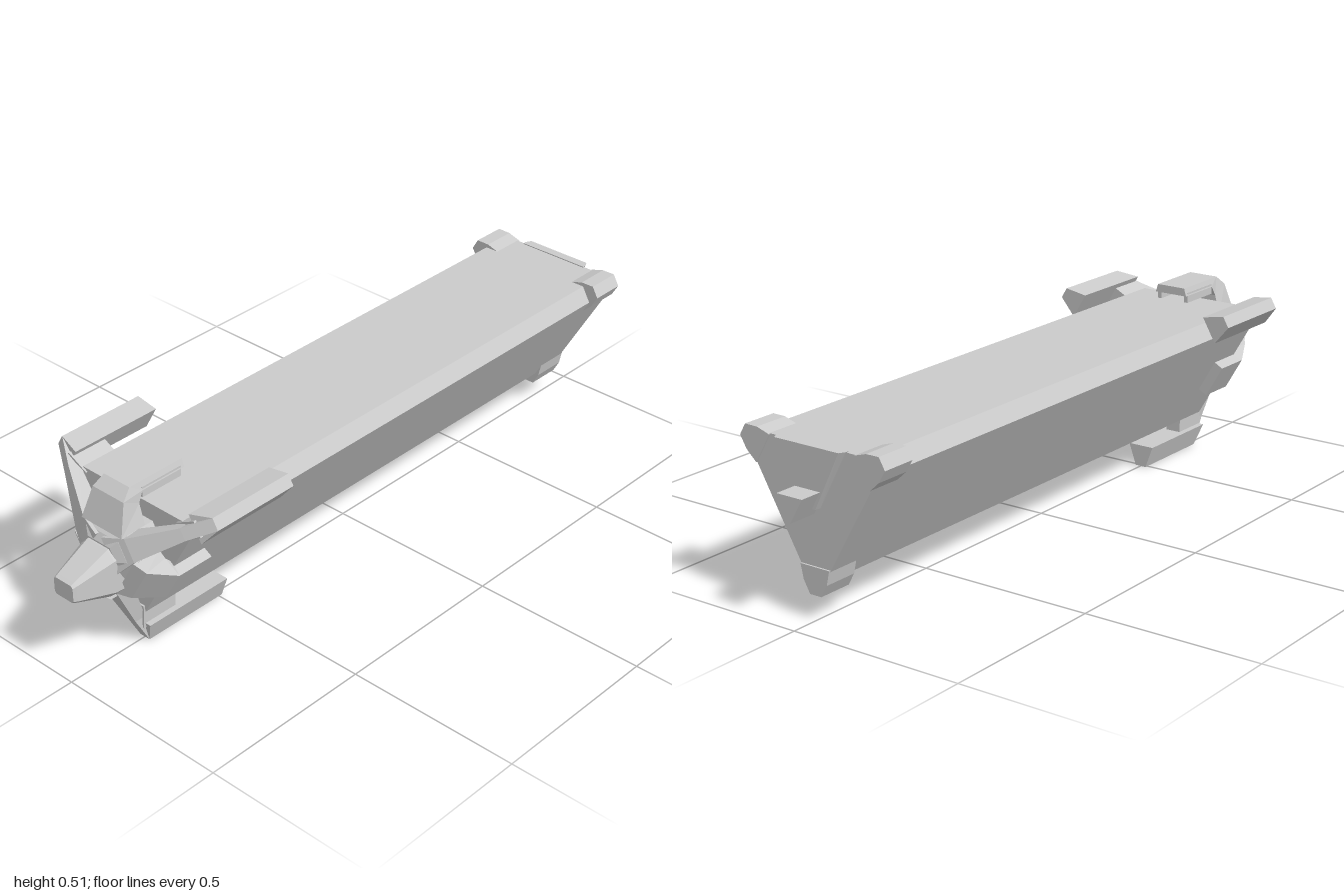
import * as THREE from 'three';

const AXIS_Y = 0.319;                 // height of the three-fold axis
const material = new THREE.MeshStandardMaterial({ color: 0xcccccc, flatShading: true });

// Skin a list of equal-sized rings of [x, y, z] points and cap both ends
function loft(rings) {
  const tris = [], n = rings[0].length;
  for (let i = 0; i < rings.length - 1; i++) {
    for (let j = 0; j < n; j++) {
      const k = (j + 1) % n, a = rings[i], b = rings[i + 1];
      tris.push([a[j], a[k], b[k]], [a[j], b[k], b[j]]);
    }
  }
  const first = rings[0], last = rings[rings.length - 1];
  for (let j = 1; j < n - 1; j++) {
    tris.push([first[0], first[j + 1], first[j]], [last[0], last[j], last[j + 1]]);
  }
  // Turn the skin outward if its signed volume is negative
  let volume = 0;
  const v = (p) => new THREE.Vector3(...p);
  for (const [a, b, c] of tris) volume += v(a).dot(v(b).cross(v(c)));
  if (volume < 0) tris.forEach((t) => t.reverse());
  const geometry = new THREE.BufferGeometry();
  geometry.setAttribute('position', new THREE.Float32BufferAttribute(tris.flat(2), 3));
  geometry.computeVertexNormals();
  return geometry;
}

// Prism along z from outline points
function prism(points, z0, z1) {
  return loft([points.map(([x, y]) => [x, y, z0]), points.map(([x, y]) => [x, y, z1])]);
}

// Spoke cross-section: front half-width and z, back half-width and z, at radius r
const spoke = (r, wf, zf, wb, zb) => [[-wf, r, zf], [wf, r, zf], [wb, r, zb], [-wb, r, zb]];

// Bracket cross-section between an outer and an inner [radius, z], with half-widths
const strap = ([ro, zo], [ri, zi], wo, wi = wo) => [[-wo, ro, zo], [wo, ro, zo], [wi, ri, zi], [-wi, ri, zi]];

export function createModel() {
  const model = new THREE.Group();
  model.name = 'model';
  const root = new THREE.Group();
  root.name = 'assembly';
  root.position.y = AXIS_Y;
  model.add(root);

  const add = (name, geometry, degrees = 90) => {
    const mesh = new THREE.Mesh(geometry, material);
    mesh.name = name;
    mesh.rotation.z = THREE.MathUtils.degToRad(degrees - 90);
    root.add(mesh);
  };

  // Long body: triangle pointing down with its corners cut off
  const outline = [];
  for (const degrees of [30, 150, 270]) {
    const a = THREE.MathUtils.degToRad(degrees);
    for (const t of [-0.025, 0.025]) {
      outline.push([0.219 * Math.cos(a) - t * Math.sin(a), 0.219 * Math.sin(a) + t * Math.cos(a)]);
    }
  }
  add('body', prism(outline, -0.915, 0.765));

  // Parts repeated at the three corners
  const arm = loft([
    spoke(0.04, 0.05, 0.88, 0.05, 0.78),
    spoke(0.103, 0.032, 0.862, 0.036, 0.81),
    spoke(0.239, 0.017, 0.793, 0.017, 0.76),
    spoke(0.319, 0.017, 0.75, 0.017, 0.72),
  ]);
  const hook = loft([
    strap([0.319, 0.49], [0.256, 0.49], 0.017, 0.04),
    strap([0.319, 0.75], [0.256, 0.765], 0.017, 0.04),
  ]);
  const strut = loft([spoke(0.2, 0.025, 0.77, 0.025, 0.66), spoke(0.27, 0.022, 0.77, 0.022, 0.66)]);
  const cornerCap = loft([
    spoke(0.18, 0.046, -0.82, 0.046, -0.92),
    spoke(0.22, 0.037, -0.82, 0.037, -0.92),
    spoke(0.254, 0.018, -0.82, 0.018, -0.92),
  ]);
  for (const degrees of [30, 150, 270]) {
    add('arm', arm, degrees);
    add('armHook', hook, degrees);
    add('armStrut', strut, degrees);
    add('rearCornerCap', cornerCap, degrees);
  }

  // Side clamps lying on the two lower faces
  const clamp = loft([
    strap([0.08, 0.865], [0.08, 0.78], 0.0715),
    strap([0.115, 0.845], [0.105, 0.775], 0.06),
    strap([0.16, 0.77], [0.12, 0.76], 0.052),
    strap([0.16, 0.66], [0.12, 0.66], 0.052),
  ]);
  add('leftClamp', clamp, -30);
  add('rightClamp', clamp, 210);

  // Top bracket: rises from the hub and bends back over the body
  add('topBracket', loft([
    strap([0.08, 0.868], [0.08, 0.79], 0.0715),
    strap([0.165, 0.84], [0.14, 0.79], 0.055),
    strap([0.191, 0.81], [0.168, 0.775], 0.045, 0.052),
    strap([0.191, 0.635], [0.168, 0.635], 0.045, 0.052),
  ]));
  for (const side of [-1, 1]) {
    const lip = new THREE.BoxGeometry(0.012, 0.03, 0.13);
    lip.translate(side * 0.045, 0.162, 0.71);
    add('topBracketLip', lip);
  }

  // Six-sided hub swelling toward the nose
  const hubRing = (r, z) => [11, 49, 131, 169, 251, 289].map((d) => {
    const a = THREE.MathUtils.degToRad(d);
    return [r * Math.cos(a), r * Math.sin(a), z];
  });
  add('hub', loft([hubRing(0.109, 0.76), hubRing(0.109, 0.85), hubRing(0.088, 0.868), hubRing(0.06, 0.88)]));

  // Eight-sided nose tapering forward
  const noseRing = (w, bottom, top, c, z) => [
    [-w + c, bottom], [w - c, bottom], [w, bottom + c], [w, top - c],
    [w - c, top], [-w + c, top], [-w, top - c], [-w, bottom + c],
  ].map(([x, y]) => [x, y - AXIS_Y, z]);
  add('nose', loft([
    noseRing(0.062, 0.215, 0.362, 0.025, 0.8),
    noseRing(0.06, 0.22, 0.36, 0.024, 0.885),
    noseRing(0.037, 0.255, 0.315, 0.008, 0.99),
    noseRing(0.034, 0.26, 0.31, 0.006, 1),
  ]));
  add('chin', loft([
    spoke(0.2 - AXIS_Y, 0.026, 0.875, 0.026, 0.83),
    spoke(0.232 - AXIS_Y, 0.015, 0.91, 0.02, 0.83),
  ]));

  // Rear plate and triangular peg
  const plate = (s, z) => [[-0.11, 0.134], [0.11, 0.134], [0.025, -0.024], [-0.025, -0.024]]
    .map(([x, y]) => [x * s, y, z]);
  add('rearPlate', loft([plate(1, -0.91), plate(1, -0.92), plate(0.92, -0.936)]));
  add('rearPeg', prism([[-0.04, 0.024], [0.04, 0.024], [0, -0.045]], -1, -0.91));

  return model;
}
